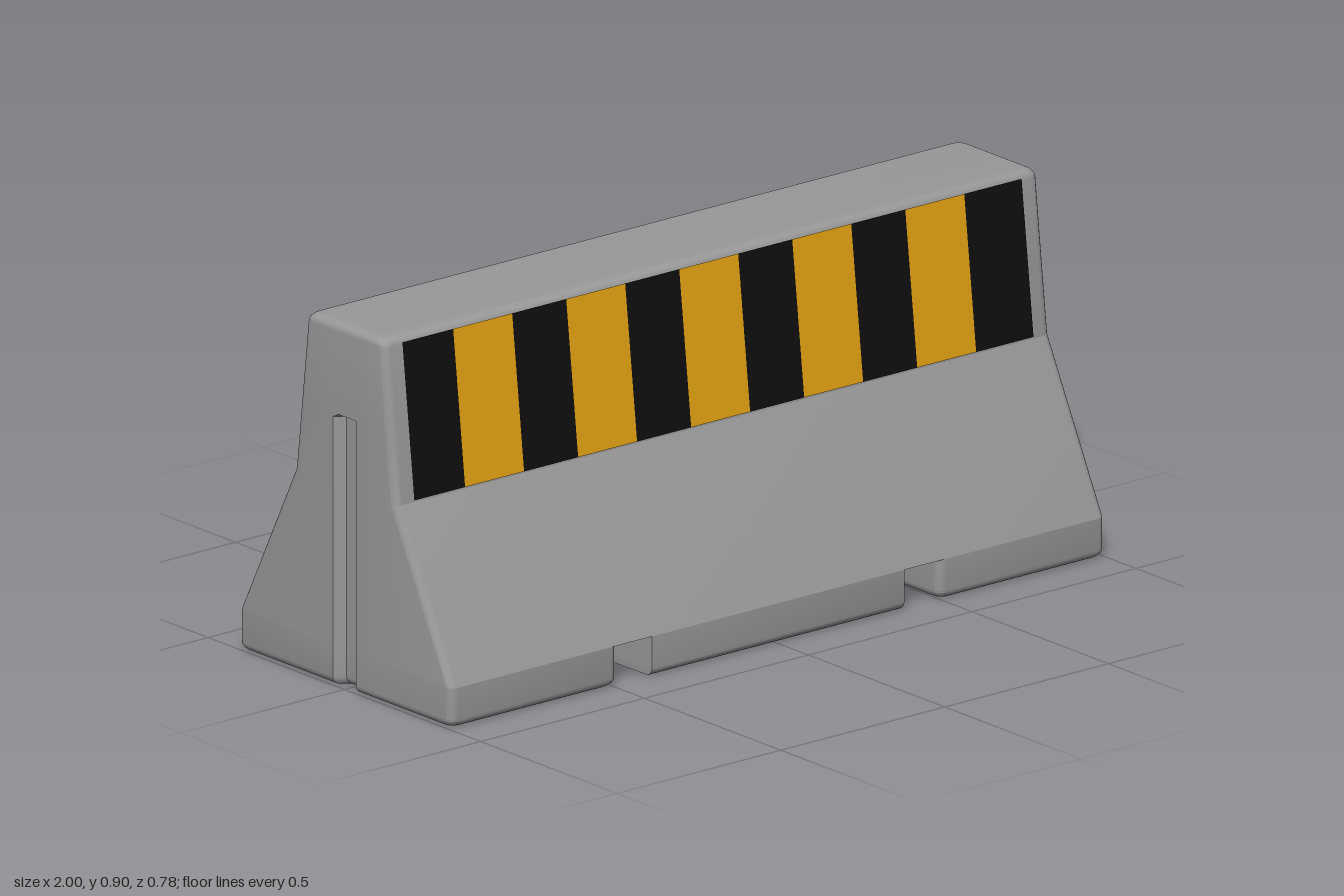
import * as THREE from 'three';
import { toCreasedNormals } from 'three/addons/utils/BufferGeometryUtils.js';

const R = 0.022; // edge rounding
const SEG = 5;
const SLOT = { inner: 0.385, outer: 0.49, height: 0.1 };
const GROOVE = { lip: 0.042, floor: 0.022, depth: 0.025, top: 0.67 };

// Half depth of the barrier at height y
const PROFILE = [[0, 0.39], [0.1, 0.39], [0.5, 0.188], [0.9, 0.142]];
function halfDepth(y) {
  for (let i = 1; i < PROFILE.length; i++) {
    const [y0, d0] = PROFILE[i - 1], [y1, d1] = PROFILE[i];
    if (y <= y1) return d0 + (d1 - d0) * (y - y0) / (y1 - y0);
  }
  return PROFILE[PROFILE.length - 1][1];
}

// Plan outline at height y; each end is { x, round, groove }
function outline(y, inset, left, right) {
  const w = halfDepth(y) - inset;
  const pts = [];
  [[right, 1], [left, -1]].forEach(([end, s]) => {
    const r = end.round ? R : 0.0005;
    const x = end.x - (end.round ? s * inset : 0);
    const corner = (sz, a0) => {
      for (let i = 0; i <= SEG; i++) {
        const a = a0 + (i / SEG) * Math.PI / 2;
        pts.push(new THREE.Vector2(x - s * r + r * Math.cos(a), sz * (w - r) + r * Math.sin(a)));
      }
    };
    corner(-s, s > 0 ? -Math.PI / 2 : Math.PI / 2);
    if (end.groove) {
      const g = y < GROOVE.top ? GROOVE.depth : 0;
      [[-GROOVE.lip, 0], [-GROOVE.floor, g], [GROOVE.floor, g], [GROOVE.lip, 0]]
        .forEach(([z, d]) => pts.push(new THREE.Vector2(x - s * d, s * z)));
    }
    corner(s, s > 0 ? 0 : Math.PI);
  });
  return pts;
}

// Stack outlines over [y, inset] levels and close the ends
function loft(levels, left, right, capTop) {
  const rings = levels.map(([y, inset]) => outline(y, inset, left, right));
  const n = rings[0].length, pos = [], index = [];
  rings.forEach((ring, k) => ring.forEach(p => pos.push(p.x, levels[k][0], p.y)));
  for (let k = 0; k + 1 < rings.length; k++) {
    for (let i = 0; i < n; i++) {
      const a = k * n + i, b = k * n + (i + 1) % n;
      index.push(a, a + n, b, b, a + n, b + n);
    }
  }
  const cap = (k, up) => {
    const ring = rings[k];
    THREE.ShapeUtils.triangulateShape(ring.slice(), []).forEach(([a, b, c]) => {
      const facesUp = THREE.ShapeUtils.area([ring[a], ring[b], ring[c]]) < 0;
      const t = facesUp === up ? [a, b, c] : [a, c, b];
      index.push(...t.map(i => i + k * n));
    });
  };
  cap(0, false);
  if (capTop) cap(rings.length - 1, true);
  const geo = new THREE.BufferGeometry();
  geo.setAttribute('position', new THREE.Float32BufferAttribute(pos, 3));
  geo.setIndex(index);
  return toCreasedNormals(geo, 0.33);
}

export function createModel() {
  const group = new THREE.Group();
  const material = (name, color) => {
    const m = new THREE.MeshStandardMaterial({ color });
    m.name = name;
    return m;
  };
  const concrete = material('concrete grey', 0x989898);
  const black = material('stripe black', 0x0f0f0f);
  const yellow = material('stripe yellow', 0xe6a212);
  const add = (name, geo, mat) => {
    const mesh = new THREE.Mesh(geo, mat);
    mesh.name = name;
    group.add(mesh);
    return mesh;
  };

  // Rounded levels for the bottom and top edges
  const arc = Array.from({ length: SEG + 1 }, (_, i) => {
    const a = (i / SEG) * Math.PI / 2;
    return [R * (1 - Math.cos(a)), R * (1 - Math.sin(a))];
  });
  const footLevels = [...arc, [SLOT.height, 0]];
  const bodyLevels = [[SLOT.height, 0], [0.5, 0], [GROOVE.top - 0.005, 0], [GROOVE.top + 0.005, 0],
    ...arc.slice().reverse().map(([h, inset]) => [0.9 - h, inset])];

  // Body above the slots
  const end = s => ({ x: s, round: true, groove: true });
  add('body', loft(bodyLevels, end(-1), end(1), true), concrete);

  // Feet between the forklift slots
  const plain = (x, round) => ({ x, round, groove: false });
  add('middleFoot', loft(footLevels, plain(-SLOT.inner, false), plain(SLOT.inner, false), false), concrete);
  add('leftFoot', loft(footLevels, plain(SLOT.outer, true), end(1), false), concrete);
  add('rightFoot', loft(footLevels, end(-1), plain(-SLOT.outer, true), false), concrete);

  // Warning stripes laid on the front and back slopes
  const edges = [-0.945, -0.79, -0.61, -0.445, -0.265, -0.1, 0.08, 0.245, 0.425, 0.59, 0.77, 0.945];
  const y0 = 0.505, y1 = 0.885;
  for (const side of [1, -1]) {
    for (let i = 0; i + 1 < edges.length; i++) {
      const geo = new THREE.PlaneGeometry(edges[i + 1] - edges[i], y1 - y0);
      geo.translate(side * (edges[i] + edges[i + 1]) / 2, (y0 + y1) / 2, 0);
      const p = geo.attributes.position;
      for (let v = 0; v < p.count; v++) p.setZ(v, halfDepth(p.getY(v)) + 0.003);
      geo.computeVertexNormals();
      if (side < 0) geo.rotateY(Math.PI);
      add(side > 0 ? 'frontStripe' : 'backStripe', geo, i % 2 ? yellow : black);
    }
  }
  return group;
}
